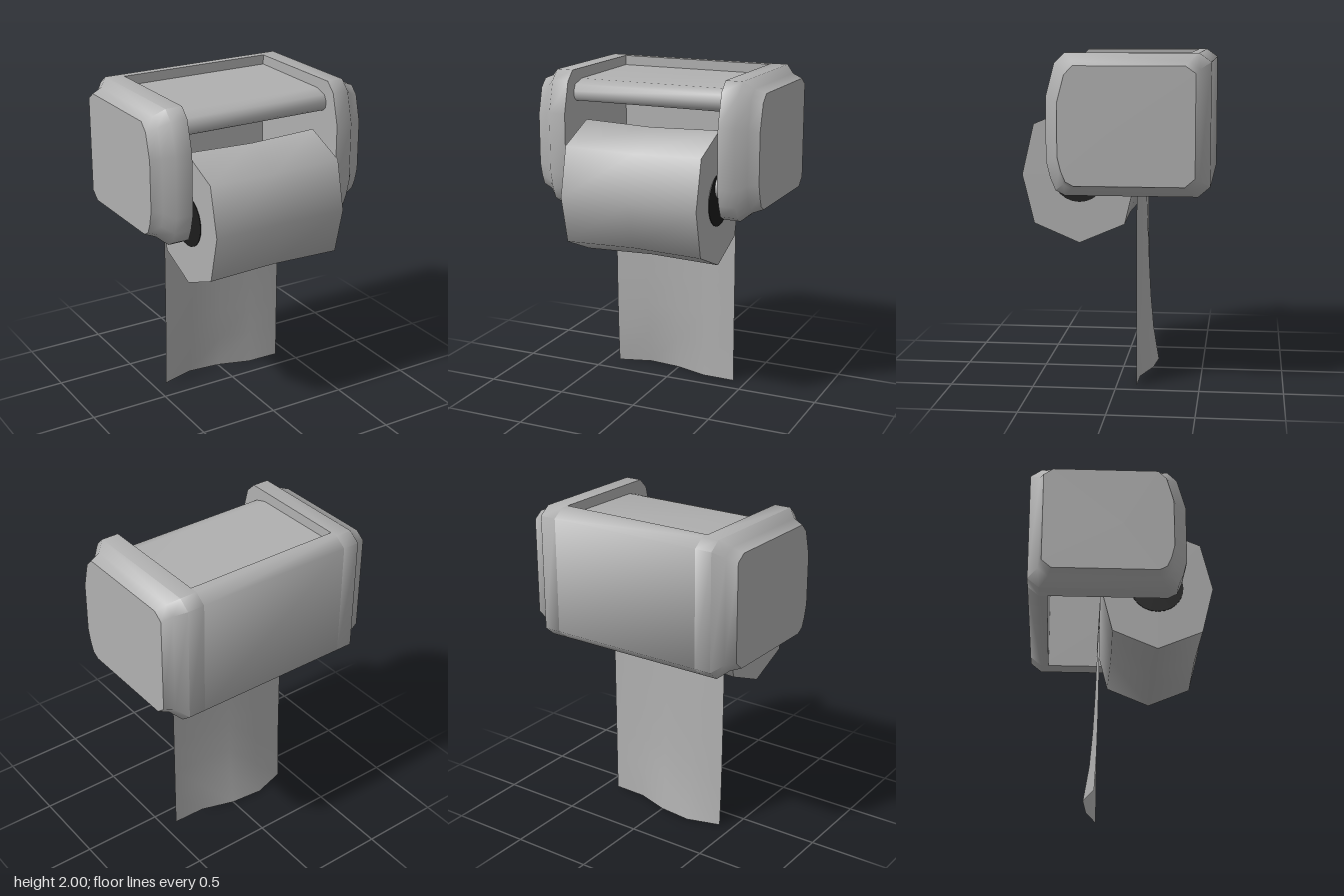
import * as THREE from 'three';
import { toCreasedNormals } from 'three/addons/utils/BufferGeometryUtils.js';

const grey = new THREE.MeshStandardMaterial({ color: 0xb0b0b0 });
grey.name = 'grey';
const greyThin = new THREE.MeshStandardMaterial({ color: 0xb0b0b0, side: THREE.DoubleSide });
greyThin.name = 'greyPaper';
const dark = new THREE.MeshStandardMaterial({ color: 0x1c1c1c });
dark.name = 'darkCore';

// Skins [z, y] outlines (counterclockwise seen from +x) placed at rising x, with end caps.
function loft(sections) {
  const pos = [], index = [], n = sections[0].ring.length;
  for (const { x, ring } of sections) for (const [z, y] of ring) pos.push(x, y, z);
  for (let s = 0; s < sections.length - 1; s++) {
    for (let j = 0; j < n; j++) {
      const a = s * n + j, b = s * n + (j + 1) % n;
      index.push(a, b, a + n, b, b + n, a + n);
    }
  }
  const last = (sections.length - 1) * n;
  const cap = (start, flip) => {
    const ring = sections[start / n].ring;
    const c = pos.length / 3;
    const mid = (k) => ring.reduce((t, p) => t + p[k], 0) / n;
    pos.push(sections[start / n].x, mid(1), mid(0));
    for (let j = 0; j < n; j++) {
      const a = start + j, b = start + (j + 1) % n;
      index.push(c, flip ? b : a, flip ? a : b);
    }
  };
  cap(0, true);
  cap(last, false);
  const g = new THREE.BufferGeometry();
  g.setAttribute('position', new THREE.Float32BufferAttribute(pos, 3));
  g.setIndex(index);
  return toCreasedNormals(g, 1.0);
}

const scaleRing = (ring, cz, cy, sz, sy) =>
  ring.map(([z, y]) => [cz + (z - cz) * sz, cy + (y - cy) * sy]);

export function createModel() {
  const model = new THREE.Group();
  const add = (name, geometry, material, parent = model) => {
    const m = new THREE.Mesh(geometry, material);
    m.name = name;
    parent.add(m);
    return m;
  };

  // Side arms, tapering to a smaller outer face
  const armRing = [
    [0.28, 2], [0.34, 1.94], [0.39, 1.75], [0.39, 1.38], [0.365, 1.28], [0.335, 1.21],
    [0.28, 1.18], [-0.49, 1.18], [-0.56, 1.24], [-0.56, 1.95], [-0.49, 2],
  ];
  const steps = [[0.495, 1, 1], [0.6, 1, 1], [0.655, 0.87, 0.89], [0.72, 0.825, 0.83]];
  for (const side of [1, -1]) {
    const sections = steps.map(([x, sz, sy]) => (
      { x: x * side, ring: scaleRing(armRing, -0.085, 1.59, sz, sy) }));
    if (side < 0) sections.reverse();
    add(side > 0 ? 'leftArm' : 'rightArm', loft(sections), grey);
  }

  // Straight parts spanning between the arms
  const span = (ring) => loft([{ x: -0.495, ring }, { x: 0.495, ring }]);
  add('backWall', span([
    [-0.44, 2], [-0.44, 1.18], [-0.49, 1.18], [-0.56, 1.24], [-0.56, 1.95], [-0.49, 2],
  ]), grey);
  add('topShelf', span([
    [-0.44, 1.94], [0.17, 1.935], [0.25, 1.91], [0.27, 1.87], [0.265, 1.83], [0.24, 1.81],
    [-0.44, 1.81],
  ]), grey);

  // Eight-sided paper roll with a slightly pinched middle
  const rollRing = [
    [0.22, 1.695], [0.49, 1.58], [0.56, 1.28], [0.49, 0.99],
    [0.22, 0.875], [-0.05, 0.99], [-0.12, 1.28], [-0.05, 1.58],
  ].reverse();
  rollRing.reverse();
  // Outline runs top, front, bottom, back
  add('paperRoll', loft([
    { x: -0.437, ring: rollRing },
    { x: 0, ring: scaleRing(rollRing, 0.22, 1.28, 0.975, 0.965) },
    { x: 0.437, ring: rollRing },
  ]), grey);

  // Roll core ends and the axle stubs
  const disc = (name, r, x, length, y, material) => {
    const m = add(name, new THREE.CylinderGeometry(r, r, length, 24), material);
    m.rotation.z = Math.PI / 2;
    m.position.set(x, y, 0.22);
  };
  for (const side of [1, -1]) {
    disc('coreEnd', 0.16, side * 0.437, 0.008, 1.28, dark);
    disc('axleCollar', 0.07, side * 0.452, 0.03, 1.36, grey);
    disc('axle', 0.05, side * 0.47, 0.06, 1.36, grey);
  }

  // Hanging sheet, rippling more toward the bottom
  const sheet = new THREE.PlaneGeometry(0.83, 1.28, 4, 6);
  const ripple = [0.03, 0.09, 0.07, 0.005, 0];
  const p = sheet.attributes.position;
  for (let i = 0; i < p.count; i++) {
    const y = p.getY(i) + 0.64;
    const t = 1 - y / 1.28;
    p.setXYZ(i, p.getX(i), y, -0.12 - ripple[i % 5] * (0.55 * t + 0.45 * t ** 6));
  }
  sheet.computeVertexNormals();
  add('hangingSheet', sheet, greyThin);

  return model;
}
